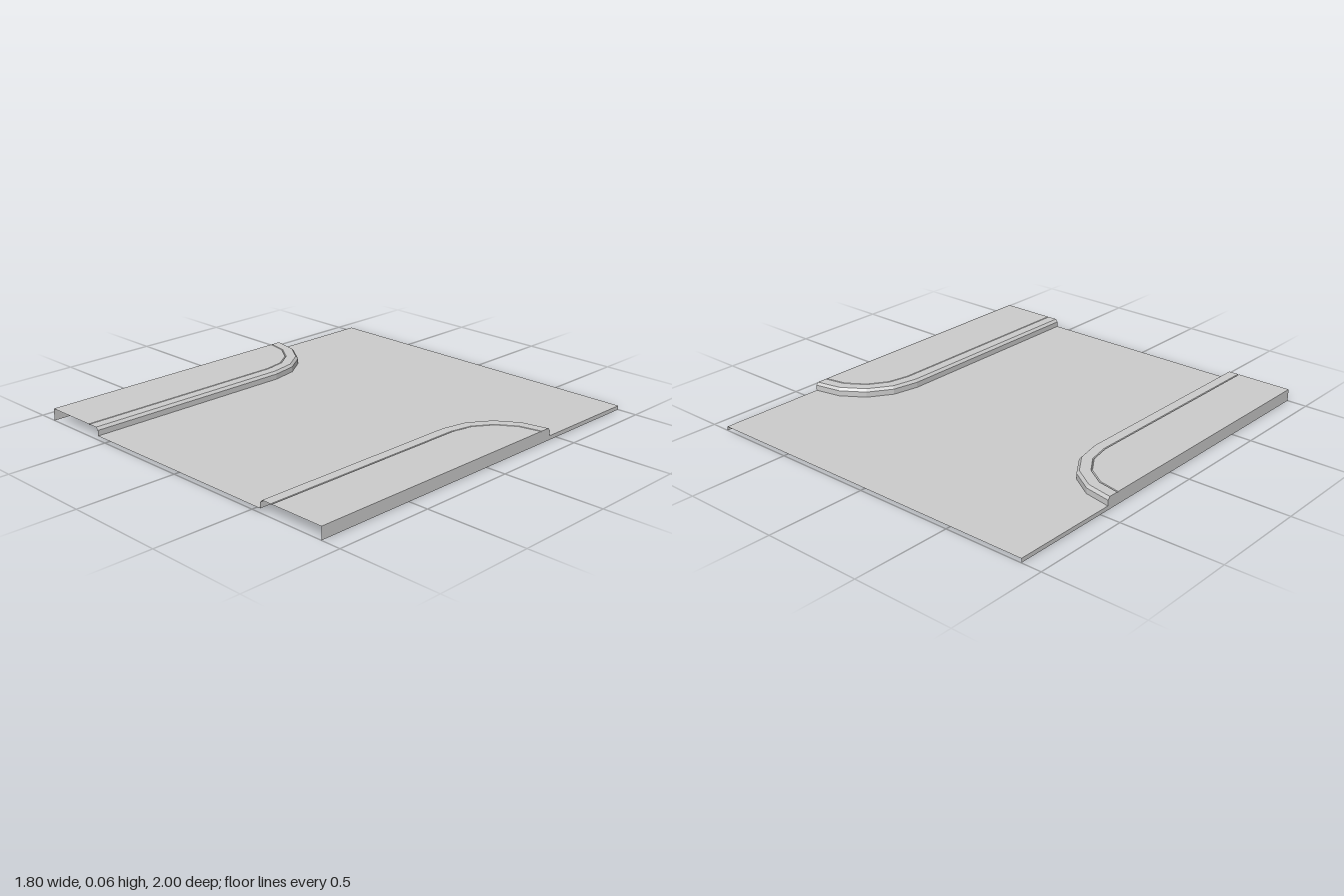
import * as THREE from 'three';

const HALF_W = 0.9, ROAD_Y = 0.02, WALK_Y = 0.06, BEND_Z = -0.1, BEND_STEPS = 4;
// Kerb cross-section: distance from the bend centre, height
const KERB = [[0.35, ROAD_Y], [0.35, 0.047], [0.338, 0.06], [0.288, 0.06], [0.285, 0.055], [0.281, WALK_Y]];

const material = new THREE.MeshStandardMaterial({ color: 0xcccccc, flatShading: true, side: THREE.DoubleSide });

function addMesh(group, name, geometry) {
  const mesh = new THREE.Mesh(geometry, material);
  mesh.name = name;
  group.add(mesh);
}

// Plan line [x, z]: straight from the front, then a quarter bend out to the side edge
function planLine(side, r) {
  const line = [[side * (HALF_W - r), 1]];
  for (let i = 0; i <= BEND_STEPS; i++) {
    const a = (i / BEND_STEPS) * Math.PI / 2;
    line.push([side * (HALF_W - r * Math.cos(a)), BEND_Z - r * Math.sin(a)]);
  }
  return line;
}

// Horizontal sheet bounded by [x, z] points
function sheet(points, y) {
  const shape = new THREE.Shape(points.map(([x, z]) => new THREE.Vector2(x, -z)));
  return new THREE.ShapeGeometry(shape).rotateX(-Math.PI / 2).translate(0, y, 0);
}

// Sweep the kerb section along the plan line
function kerbGeometry(side) {
  const positions = [], index = [];
  const n = BEND_STEPS + 2;
  for (const [r, y] of KERB) {
    for (const [x, z] of planLine(side, r)) positions.push(x, y, z);
  }
  for (let j = 0; j < KERB.length - 1; j++) {
    for (let i = 0; i < n - 1; i++) {
      const a = j * n + i, b = a + 1, c = a + n, d = c + 1;
      if (side > 0) index.push(a, c, b, b, c, d);
      else index.push(a, b, c, b, d, c);
    }
  }
  const geometry = new THREE.BufferGeometry();
  geometry.setAttribute('position', new THREE.Float32BufferAttribute(positions, 3));
  geometry.setIndex(index);
  const flat = geometry.toNonIndexed();
  flat.computeVertexNormals();
  return flat;
}

// Upright side wall following the heights of pavement, kerb and road
function skirtGeometry(side) {
  const profile = [[1, 0], [1, WALK_Y]];
  for (const [r, y] of [...KERB].reverse()) profile.push([BEND_Z - r, y]);
  profile.push([-1, ROAD_Y], [-1, 0]);
  const shape = new THREE.Shape(profile.map(([z, y]) => new THREE.Vector2(-side * z, y)));
  return new THREE.ShapeGeometry(shape).rotateY(side * Math.PI / 2).translate(side * HALF_W, 0, 0);
}

export function createModel() {
  const group = new THREE.Group();
  group.name = 'roadJunction';

  // Road, running between the kerbs and widening at the back
  const outer = KERB[0][0], inner = KERB[KERB.length - 1][0];
  addMesh(group, 'road', sheet([
    ...planLine(1, outer), [HALF_W, -1], [-HALF_W, -1], ...planLine(-1, outer).reverse(),
  ], ROAD_Y));

  // Pavement, kerb and side wall on each side
  for (const side of [1, -1]) {
    const label = side > 0 ? 'left' : 'right';
    addMesh(group, label + 'Pavement', sheet([...planLine(side, inner), [side * HALF_W, 1]], WALK_Y));
    addMesh(group, label + 'Kerb', kerbGeometry(side));
    addMesh(group, label + 'SideWall', skirtGeometry(side));
  }
  return group;
}
